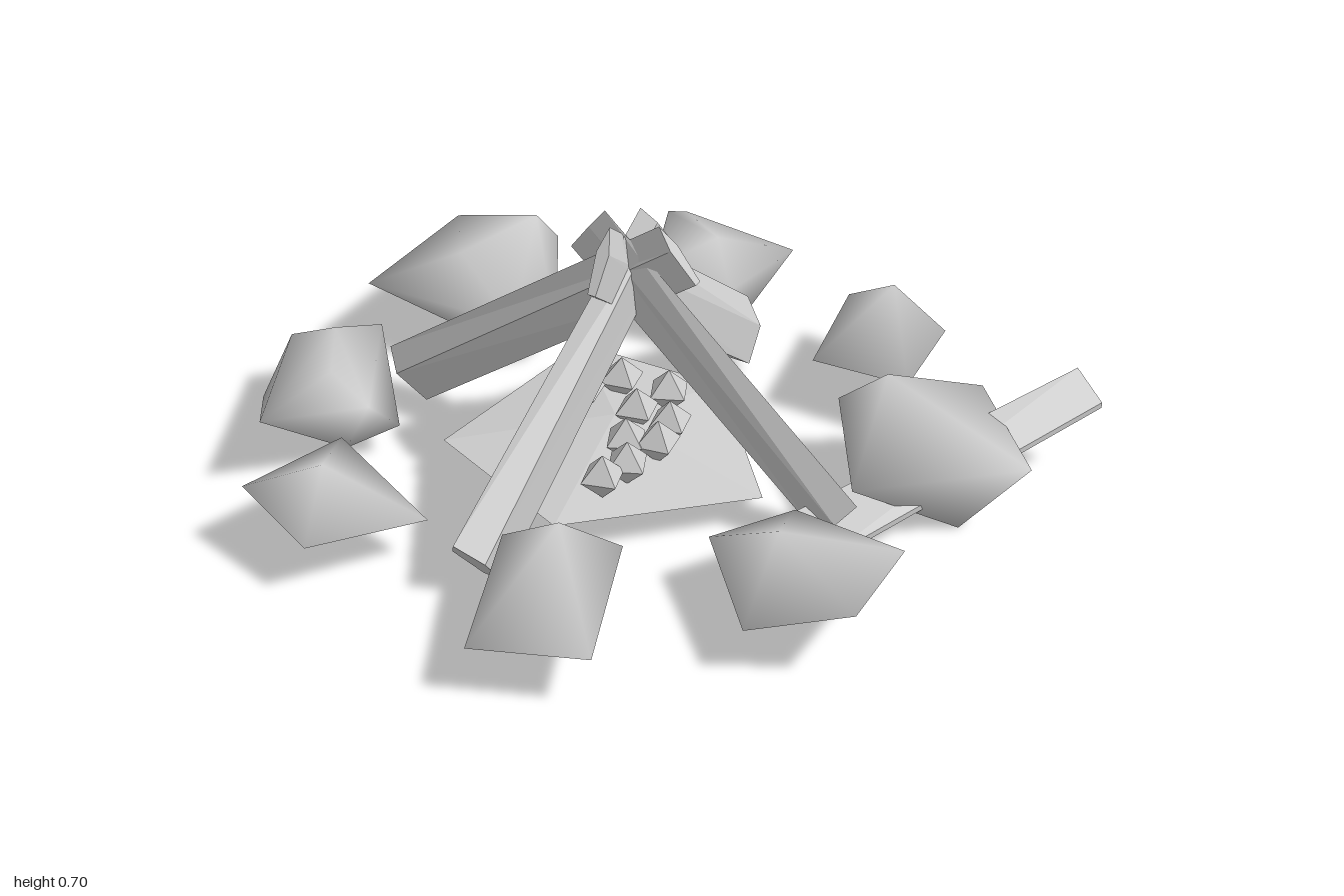
import * as THREE from 'three';
import { ConvexGeometry } from 'three/addons/geometries/ConvexGeometry.js';
import { mergeVertices } from 'three/addons/utils/BufferGeometryUtils.js';

const smooth = new THREE.MeshStandardMaterial({ color: 0xcccccc, side: THREE.DoubleSide });
const flat = new THREE.MeshStandardMaterial({ color: 0xcccccc, flatShading: true, side: THREE.DoubleSide });

const hull = (points) => new ConvexGeometry(points.map((p) => new THREE.Vector3(...p)));

function add(parent, name, geometry, material) {
  const mesh = new THREE.Mesh(geometry, material);
  mesh.name = name;
  parent.add(mesh);
  return mesh;
}

// Rough stone: convex lump with shared vertices, so its shading is soft
function stone(points) {
  const g = hull(points);
  g.deleteAttribute('normal');
  g.deleteAttribute('uv');
  const merged = mergeVertices(g, 1e-4);
  merged.computeVertexNormals();
  return merged;
}

// Five-sided log from foot to tip, tall in section, thinning to the tip, its ridge leaning sideways
function log(foot, tip, lean) {
  const start = new THREE.Vector3(...foot), end = new THREE.Vector3(...tip);
  const dir = end.clone().sub(start);
  const length = dir.length();
  dir.normalize();
  const side = dir.clone().cross(new THREE.Vector3(0, 1, 0)).normalize();
  const up = side.clone().cross(dir);
  const g = new THREE.CylinderGeometry(0.092, 0.092, length, 5);
  const pos = g.attributes.position;
  for (let i = 0; i < pos.count; i++) {
    const width = THREE.MathUtils.lerp(0.55, 0.2, pos.getY(i) / length + 0.5);
    pos.setX(i, width * (pos.getX(i) + lean * pos.getZ(i)));
  }
  g.applyMatrix4(new THREE.Matrix4().makeBasis(side, dir, up));
  const mid = start.add(end).multiplyScalar(0.5);
  g.translate(mid.x, mid.y, mid.z);
  g.computeVertexNormals();
  return g;
}

// Corners of each ring stone: outline, then crown and base
const STONES = {
  stoneBack: [[-0.31, 0.2, -0.82], [0.05, 0.21, -1], [0.16, 0.04, -0.83], [0.2, 0.24, -0.72],
    [0.09, 0.08, -0.54], [-0.07, 0.18, -0.48], [0.13, 0.33, -0.71], [-0.1, 0.29, -0.7],
    [0, 0.01, -0.81], [0, 0.02, -0.55]],
  stoneBackRight: [[0.32, 0.14, -0.48], [0.51, 0.25, -0.67], [0.56, 0.24, -0.66], [0.54, 0.09, -0.69],
    [0.78, 0.15, -0.47], [0.46, 0.22, -0.28], [0.54, 0.26, -0.47], [0.39, 0.21, -0.5],
    [0.37, 0.06, -0.46], [0.54, 0.03, -0.38]],
  stoneRight: [[0.51, 0.16, 0.03], [0.77, 0.16, -0.19], [0.9, 0.14, 0.06], [0.64, 0.17, 0.26],
    [0.76, 0.3, 0.02], [0.76, 0.01, 0]],
  stoneFrontRight: [[0.27, 0.16, 0.56], [0.46, 0.17, 0.22], [0.78, 0.19, 0.38], [0.66, 0.19, 0.74],
    [0.46, 0.35, 0.42], [0.53, 0.01, 0.64], [0.6, 0.07, 0.4]],
  stoneFront: [[-0.11, 0.15, 0.53], [0.13, 0.14, 0.53], [0.24, 0.16, 0.82], [-0.02, 0.19, 1],
    [-0.22, 0.13, 0.85], [-0.03, 0.24, 0.7], [0.06, 0.05, 0.72], [-0.1, 0.04, 0.7]],
  stoneFrontLeft: [[-0.79, 0.14, 0.6], [-0.55, 0.2, 0.34], [-0.3, 0.15, 0.46], [-0.57, 0.14, 0.78],
    [-0.49, 0.31, 0.5], [-0.52, 0.04, 0.57], [-0.62, 0.07, 0.58]],
  stoneLeft: [[-0.97, 0.18, -0.17], [-0.67, 0.17, -0.25], [-0.62, 0.12, 0.1], [-0.93, 0.14, 0.08],
    [-0.81, 0.25, -0.06], [-0.88, 0.05, -0.05], [-0.72, 0.06, -0.04]],
  stoneBackLeft: [[-0.83, 0.2, -0.37], [-0.69, 0.06, -0.67], [-0.57, 0.17, -0.74], [-0.33, 0.14, -0.71],
    [-0.48, 0.1, -0.32], [-0.58, 0.21, -0.28], [-0.62, 0.26, -0.4], [-0.52, 0.26, -0.58],
    [-0.6, 0.04, -0.38], [-0.5, 0.06, -0.62]],
};

// Foot, tip and ridge lean of each log
const LOGS = {
  logLeft: [[-0.58, 0.08, 0.26], [0.09, 0.64, -0.04], -0.4],
  logRight: [[0.495, 0.09, -0.27], [-0.12, 0.64, 0.05], 0.4],
  logFront: [[0.245, 0.08, 0.55], [-0.06, 0.64, -0.11], -0.4],
  logBack: [[-0.325, 0.08, -0.545], [0.06, 0.64, 0.12], 0.4],
};

const EMBERS = [[-0.22, 0.23], [-0.14, 0.21], [-0.03, 0.17], [0.04, 0.11], [-0.09, 0.12],
  [-0.07, -0.12], [0.04, -0.12], [0.11, -0.01], [0, 0.02]];

export function createModel() {
  const group = new THREE.Group();

  // Ring of stones
  const ring = new THREE.Group();
  ring.name = 'stoneRing';
  for (const [name, points] of Object.entries(STONES)) add(ring, name, stone(points), smooth);
  group.add(ring);

  // Leaning logs crossing at the top
  for (const [name, spec] of Object.entries(LOGS)) add(group, name, log(...spec), flat);

  // Loose thin plank, tilted to the front, lying under the front right stone
  add(group, 'loosePlank', hull([
    [0.15, 0.1, 0.49], [0.15, 0.085, 0.49], [0.15, 0.04, 0.62], [0.15, 0.025, 0.62],
    [0.96, 0.26, 0.52], [0.96, 0.245, 0.52], [0.97, 0.205, 0.61], [0.97, 0.19, 0.61],
  ]), flat);

  // Ash bed: shallow faceted mound
  add(group, 'ashBed', hull([[-0.43, 0.12, -0.18], [0.08, 0.12, -0.39], [0.31, 0.09, -0.08], [0.19, 0.015, 0.26],
    [0.13, 0.09, 0.39], [-0.37, 0.11, 0.26], [-0.05, 0.17, 0], [-0.05, 0.05, -0.1]]), flat);

  // Embers: small pointed lumps on the ash
  const embers = new THREE.Group();
  embers.name = 'embers';
  EMBERS.forEach(([x, z], i) => {
    const ember = add(embers, 'ember', new THREE.OctahedronGeometry(0.06), flat);
    ember.position.set(x, 0.18, z);
    ember.rotation.y = 0.15 * Math.sin(i * 2);
  });
  group.add(embers);

  return group;
}
